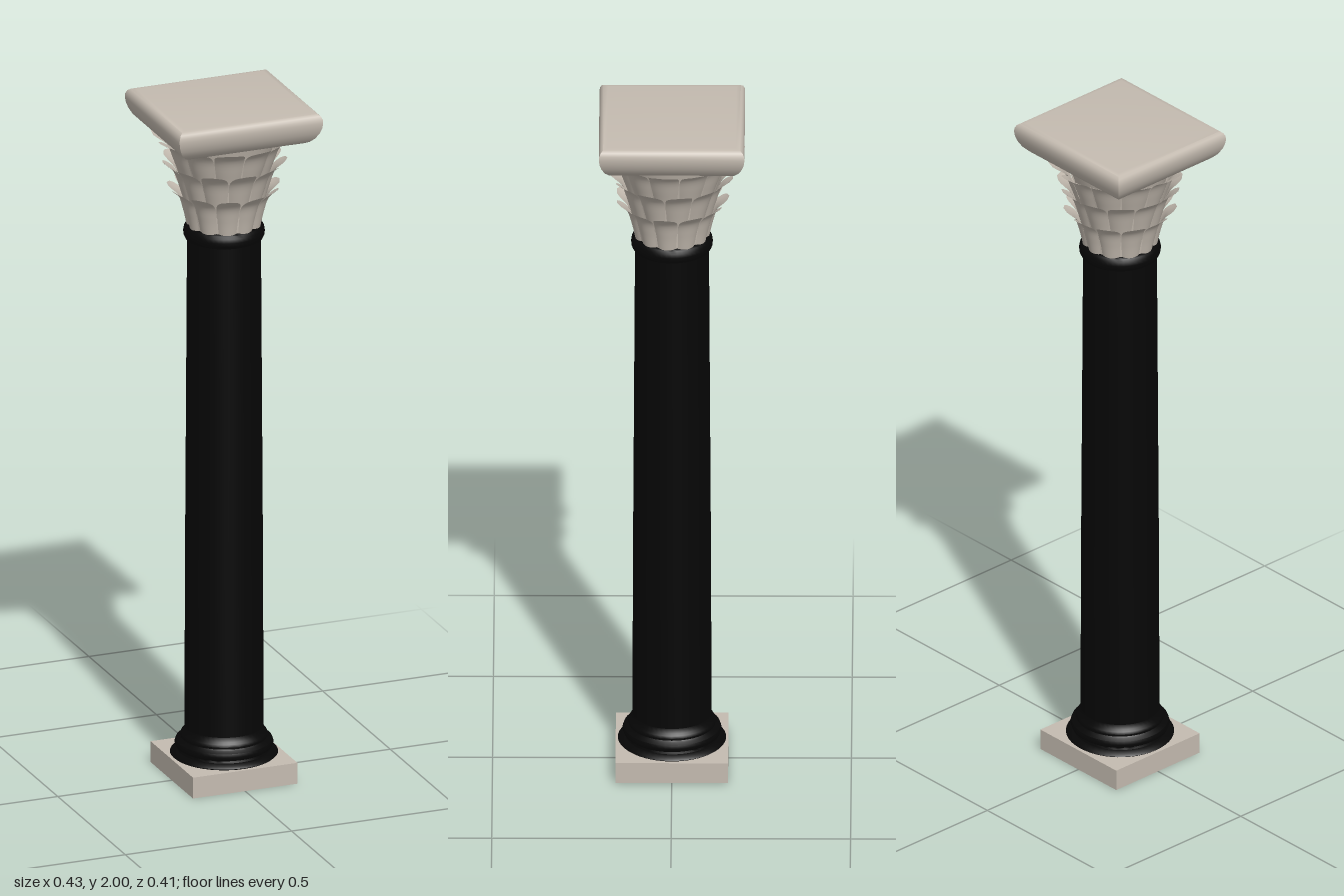
import * as THREE from 'three';
import { toCreasedNormals } from 'three/addons/utils/BufferGeometryUtils.js';

const stone = new THREE.MeshStandardMaterial({ color: 0xc4bbb0 });
const leafStone = new THREE.MeshStandardMaterial({ color: 0xc4bbb0, side: THREE.DoubleSide });
const black = new THREE.MeshStandardMaterial({ color: 0x060606 });
const LEAVES = 11;

const vectors = (points) => points.map(([x, y]) => new THREE.Vector2(x, y));

function addMesh(parent, name, geometry, material) {
  const mesh = new THREE.Mesh(geometry, material);
  mesh.name = name;
  parent.add(mesh);
  return mesh;
}

// Turned part from [radius, height] pairs, bottom to top
function turned(points, segments = 48) {
  return toCreasedNormals(new THREE.LatheGeometry(vectors(points), segments), 0.7);
}

// Leaf wrapped round the bell: round-topped outline, bulging middle, tip curling outward
function leafGeometry(profile) {
  const curve = new THREE.SplineCurve(vectors(profile));
  const geometry = new THREE.PlaneGeometry(2, 1, 10, 16);
  const pos = geometry.attributes.position;
  for (let i = 0; i < pos.count; i++) {
    const u = pos.getX(i);
    const v = pos.getY(i) + 0.5;
    const t = Math.max(0, (v - 0.55) / 0.45);
    const width = (0.88 + 0.1 * Math.min(1, v / 0.55)) * Math.sqrt(Math.max(0, 1 - t * t));
    const p = curve.getPoint(v);
    const angle = u * width * Math.PI / LEAVES;
    const r = p.x - 0.007 * u * u * (1 - t);
    pos.setXYZ(i, r * Math.sin(angle), p.y, r * Math.cos(angle));
  }
  geometry.computeVertexNormals();
  return geometry;
}

export function createModel() {
  const column = new THREE.Group();
  column.name = 'column';

  // Square plinth
  addMesh(column, 'plinth', new THREE.BoxGeometry(0.314, 0.062, 0.314), stone).position.y = 0.031;

  // Moulded base
  addMesh(column, 'base', turned([
    [0, 0.062], [0.146, 0.062], [0.151, 0.066], [0.146, 0.072], [0.13, 0.076], [0.128, 0.082],
    [0.135, 0.087], [0.138, 0.096], [0.135, 0.105], [0.126, 0.11], [0.121, 0.114],
    [0.122, 0.12], [0.119, 0.127], [0.113, 0.132], [0.11, 0.145], [0, 0.145],
  ]), black);

  // Shaft with a slight taper
  addMesh(column, 'shaft', turned([[0.11, 0.14], [0.109, 0.6], [0.106, 1.1], [0.103, 1.61]]), black);

  // Ring under the capital
  addMesh(column, 'neckRing', turned([
    [0.102, 1.595], [0.109, 1.598], [0.113, 1.606], [0.114, 1.616],
    [0.112, 1.627], [0.107, 1.635], [0.1, 1.638], [0, 1.638],
  ]), black);

  // Capital: bell with three tiers of leaves
  const capital = new THREE.Group();
  capital.name = 'capital';
  column.add(capital);
  addMesh(capital, 'bell', turned([
    [0.097, 1.63], [0.103, 1.7], [0.114, 1.78], [0.128, 1.84], [0.15, 1.91],
  ]), stone);

  const tiers = [
    { name: 'lowerLeaf', shift: 0.5, profile: [[0.105, 1.635], [0.115, 1.68], [0.13, 1.725], [0.16, 1.755]] },
    { name: 'middleLeaf', shift: 0, profile: [[0.109, 1.69], [0.126, 1.75], [0.145, 1.802], [0.177, 1.833]] },
    { name: 'upperLeaf', shift: 0.5, profile: [[0.122, 1.77], [0.141, 1.825], [0.164, 1.88], [0.204, 1.908]] },
  ];
  for (const { name, shift, profile } of tiers) {
    const geometry = leafGeometry(profile);
    for (let i = 0; i < LEAVES; i++) {
      addMesh(capital, name, geometry, leafStone).rotation.y = (i + shift) * 2 * Math.PI / LEAVES;
    }
  }

  // Abacus: rounded profile swept round a rectangle with sharp mitred corners
  const slab = [
    [0, 1.905], [0.8, 1.905], [0.86, 1.911], [0.92, 1.924], [0.965, 1.941], [0.99, 1.957],
    [1, 1.972], [0.995, 1.983], [0.975, 1.992], [0.94, 1.998], [0.88, 2], [0, 2],
  ];
  const abacus = new THREE.LatheGeometry(vectors(slab), 4, Math.PI / 4);
  abacus.scale(0.216 * Math.SQRT2, 1, 0.203 * Math.SQRT2);
  addMesh(column, 'abacus', toCreasedNormals(abacus, 0.75), stone);

  return column;
}
